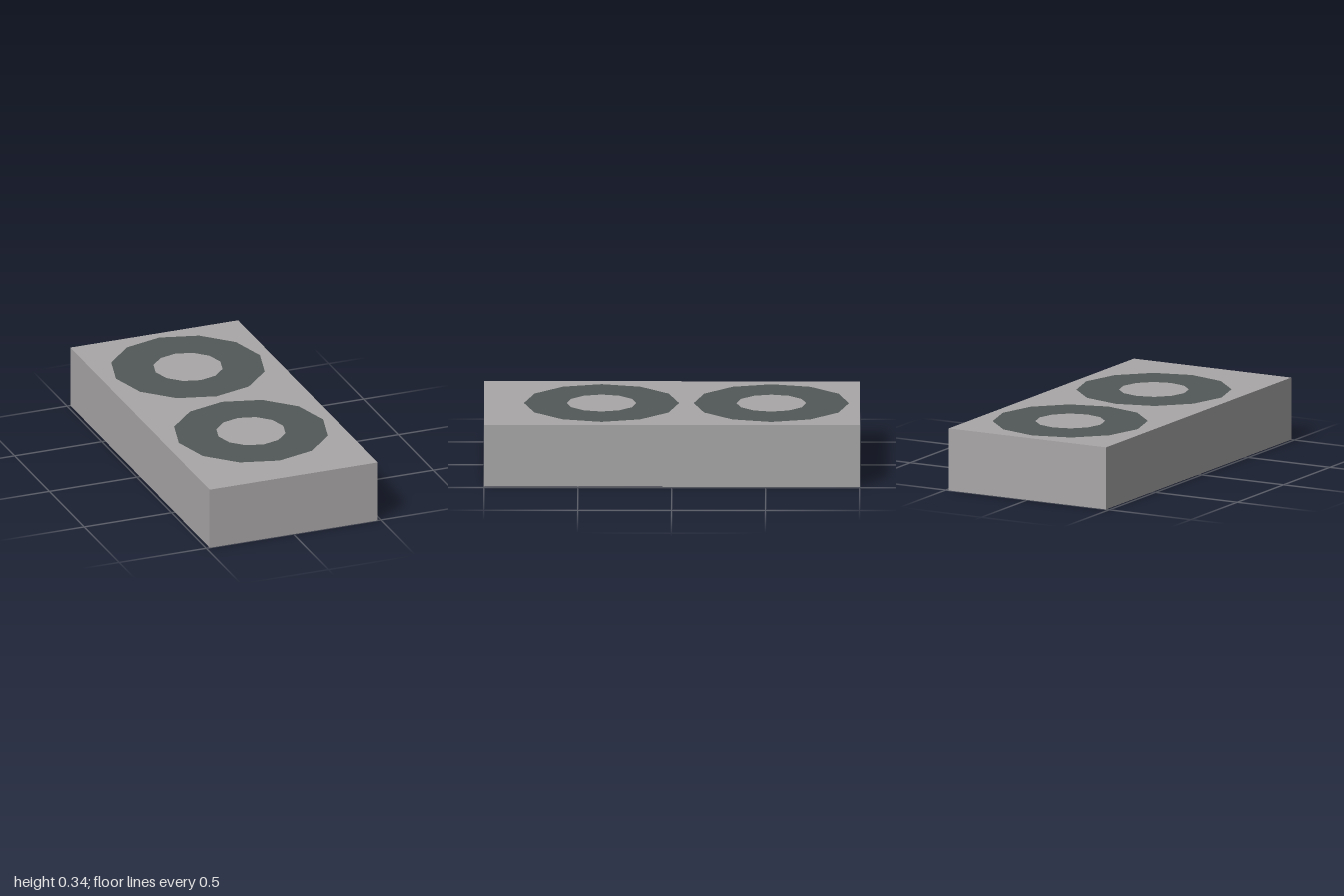
import * as THREE from 'three';

const WIDTH = 0.962, HEIGHT = 0.338, LENGTH = 2;

export function createModel() {
  const group = new THREE.Group();
  const casingGrey = new THREE.MeshStandardMaterial({ color: 0xa9a7a7, side: THREE.DoubleSide });
  casingGrey.name = 'casingGrey';
  const ringSlate = new THREE.MeshStandardMaterial({ color: 0x525759 });
  ringSlate.name = 'ringSlate';

  // Thin-walled casing: a box without its bottom face, so it is open below
  const box = new THREE.BoxGeometry(WIDTH, HEIGHT, LENGTH);
  const index = Array.from(box.index.array);
  index.splice(18, 6);
  box.setIndex(index);
  box.clearGroups();
  const casing = new THREE.Mesh(box, casingGrey);
  casing.name = 'casing';
  casing.position.y = HEIGHT / 2;
  group.add(casing);

  // Two flat twelve-sided rings lying on the top
  const ringGeometry = new THREE.RingGeometry(0.186, 0.413, 12).rotateX(-Math.PI / 2);
  [['backRing', -0.529], ['frontRing', 0.375]].forEach(([name, z]) => {
    const ring = new THREE.Mesh(ringGeometry, ringSlate);
    ring.name = name;
    ring.position.set(0.005, HEIGHT + 0.002, z);
    group.add(ring);
  });

  return group;
}
